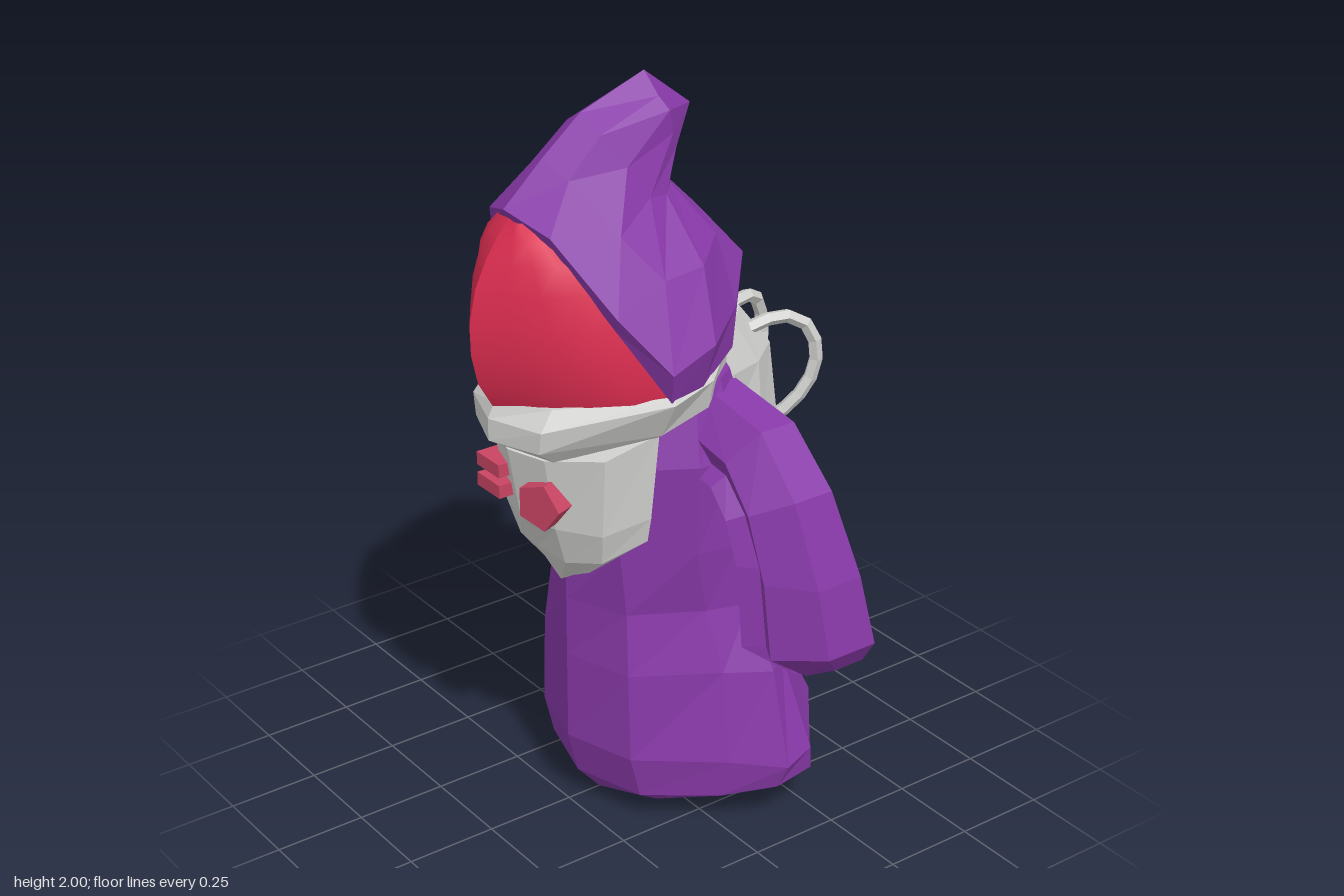
import * as THREE from 'three';

const paint = (name, color) => Object.assign(new THREE.MeshStandardMaterial({ color }), { name });

// Skin a stack of point rows (bottom to top); closed rows get fan caps
function loft(rows, { closed = true, smooth = false, base = null, tip = null } = {}) {
  const n = rows[0].length, pos = rows.flat(2), idx = [];
  const cols = closed ? n : n - 1;
  for (let i = 0; i < rows.length - 1; i++) {
    for (let j = 0; j < cols; j++) {
      const k = (j + 1) % n, a = i * n + j, b = i * n + k;
      idx.push(a, b, b + n, a, b + n, a + n);
    }
  }
  if (closed) {
    const middle = (row) => [0, 1, 2].map((c) => row.reduce((s, p) => s + p[c], 0) / n);
    const last = (rows.length - 1) * n, m = rows.length * n;
    pos.push(...(base || middle(rows[0])), ...(tip || middle(rows[rows.length - 1])));
    for (let j = 0; j < n; j++) {
      const k = (j + 1) % n;
      idx.push(m, k, j, m + 1, last + j, last + k);
    }
  }
  let geo = new THREE.BufferGeometry();
  geo.setAttribute('position', new THREE.Float32BufferAttribute(pos, 3));
  geo.setIndex(idx);
  if (!smooth) geo = geo.toNonIndexed();
  geo.computeVertexNormals();
  return geo;
}

// Mirror a half ring (front centre, left side, back centre) into a full ring
const flip = ([x, y, z]) => [-x, y, z];
const ring = (half) => [...half, ...half.slice(1, -1).reverse().map(flip)];
// Half ring at one height from [x, z] pairs
const level = (y, ...pts) => pts.map(([x, z]) => [x, y, z]);
const mirrorRows = (rows) => rows.map((row) => row.map(flip).reverse());

export function createModel() {
  const model = new THREE.Group();
  model.name = 'hoodedFigure';
  const purple = paint('purple cloth', 0x8839a8);
  const grey = paint('grey metal', 0xd0d0ce);
  const red = paint('red visor', 0xdc2d50);
  const rose = paint('rose badge', 0xc84463);
  const add = (name, geo, mat) => {
    const mesh = new THREE.Mesh(geo, mat);
    mesh.name = name;
    model.add(mesh);
    return mesh;
  };

  // Robe with a hem that sweeps out behind
  add('robe', loft([
    [[0, 0, .15], [.18, .03, .09], [.32, .08, 0], [.4, .11, -.12], [.38, .12, -.23], [.12, .135, -.46], [0, .14, -.5]],
    [[0, .08, .22], [.2, .08, .16], [.34, .09, 0], [.43, .12, -.12], [.42, .13, -.24], [.12, .14, -.48], [0, .145, -.52]],
    [[0, .2, .25], [.2, .2, .19], [.36, .2, -.01], [.46, .19, -.13], [.43, .2, -.23], [.12, .2, -.45], [0, .22, -.47]],
    level(.45, [0, .25], [.19, .19], [.32, -.02], [.39, -.13], [.34, -.2], [.11, -.34], [0, -.36]),
    level(.62, [0, .25], [.17, .18], [.27, 0], [.305, -.11], [.26, -.19], [.1, -.28], [0, -.3]),
    level(.8, [0, .25], [.17, .2], [.28, .04], [.3, -.08], [.26, -.17], [.1, -.25], [0, -.28]),
    level(1.05, [0, .25], [.2, .19], [.29, .04], [.3, -.07], [.26, -.15], [.1, -.2], [0, -.23]),
    level(1.25, [0, .2], [.15, .16], [.24, .02], [.24, -.06], [.2, -.12], [.1, -.16], [0, -.17]),
  ].map(ring), { base: [0, .13, -.15] }), purple);

  // Breathing plate on the chest
  add('chestPlate', loft([
    [[0, .68, .265], [.06, .72, .27], [.12, .75, .26], [.15, .8, .15], [0, .8, .1]],
    [[0, .8, .335], [.1, .79, .32], [.19, .81, .27], [.22, .85, .15], [0, .85, .1]],
    [[0, .9, .385], [.11, .9, .355], [.215, .9, .285], [.235, .92, .15], [0, .9, .1]],
    [[0, 1.1, .42], [.11, 1.1, .385], [.235, 1.12, .29], [.255, 1.16, .14], [0, 1.15, .1]],
  ].map(ring)), grey);

  // Collar band under the visor, rising towards the back
  add('collar', loft([
    [[0, 1.1, .41], [.13, 1.1, .37], [.25, 1.15, .15], [.25, 1.19, 0], [.16, 1.22, -.12], [0, 1.23, -.2]],
    [[0, 1.14, .475], [.14, 1.14, .42], [.28, 1.17, .15], [.27, 1.2, 0], [.17, 1.24, -.13], [0, 1.25, -.22]],
    [[0, 1.2, .475], [.15, 1.2, .42], [.335, 1.27, .15], [.29, 1.28, 0], [.18, 1.31, -.13], [0, 1.32, -.23]],
    [[0, 1.24, .455], [.14, 1.25, .38], [.32, 1.285, .14], [.27, 1.3, 0], [.17, 1.32, -.12], [0, 1.33, -.21]],
  ].map(ring), { tip: [0, 1.25, .1] }), grey);

  // Visor halves, smooth with a crease down the middle: [y, centre z, edge x, edge z]
  const visor = [
    [1.23, .46, .32, .12], [1.3, .5, .315, .14], [1.38, .518, .29, .18], [1.46, .52, .26, .22],
    [1.55, .5, .21, .27], [1.62, .467, .165, .31], [1.67, .433, .11, .335], [1.71, .4, .03, .36],
  ].map(([y, zc, x, z], i) => [0, .25, .5, .75, 1].map((t) => {
    const bulge = .13 * t * (1 - t);
    return [x * t + bulge, y + (i === 0 ? .04 * t : 0), zc + (z - zc) * t + .6 * bulge];
  }));
  add('visorLeft', loft(visor, { closed: false, smooth: true }), red);
  add('visorRight', loft(mirrorRows(visor), { closed: false, smooth: true }), red);

  // Pointed hood with the tip folded backwards
  add('hood', loft([
    [[0, 1.71, .4], [.125, 1.66, .36], [.245, 1.46, .26], [.325, 1.275, .155], [.3, 1.28, .04], [.21, 1.31, -.12], [0, 1.33, -.16]],
    [[0, 1.735, .415], [.13, 1.69, .37], [.265, 1.5, .27], [.352, 1.36, .17], [.335, 1.4, .03], [.21, 1.42, -.13], [0, 1.45, -.315]],
    [[0, 1.84, .3], [.08, 1.8, .28], [.18, 1.67, .2], [.25, 1.56, .12], [.245, 1.57, 0], [.15, 1.6, -.11], [0, 1.62, -.16]],
    [[0, 1.93, .19], [.07, 1.89, .18], [.11, 1.81, .13], [.135, 1.73, .08], [.12, 1.72, .02], [.08, 1.73, -.02], [0, 1.74, -.04]],
    [[0, 2, 0], [.06, 1.95, 0], [.092, 1.92, -.01], [.092, 1.86, -.02], [.08, 1.82, -.04], [.05, 1.8, -.05], [0, 1.8, -.05]],
  ].map(ring), { base: [0, 1.4, .08], tip: [0, 1.89, -.14] }), purple);

  // Sleeves: [x, y, z, half width, half depth, tilt], hand end first, with a fold in front
  const fold = [[1, .25], [1, -.65], [0, -1], [-.9, -.55], [-1, .35], [-.65, .95], [-.35, .65], [.2, .9]];
  const sleeve = [
    [.545, .525, -.19, .05, .1, .3], [.52, .605, -.14, .125, .165, .08], [.503, .82, -.115, .118, .15, -.1],
    [.455, .98, -.085, .108, .13, .5], [.37, 1.08, -.07, .115, .115, 1.05], [.2, 1.11, -.06, .115, .105, 1.45],
  ].map(([x, y, z, w, d, a]) => fold.map(([u, v]) => [x + u * w * Math.cos(a), y + u * w * Math.sin(a), z + v * d]));
  add('sleeveLeft', loft(sleeve), purple);
  add('sleeveRight', loft(mirrorRows(sleeve)), purple);

  // Backpack tank
  add('backpack', loft([
    level(.79, [0, -.24], [.03, -.25], [.03, -.28], [.02, -.31], [0, -.315]),
    level(.88, [0, -.1], [.12, -.15], [.11, -.28], [.05, -.38], [0, -.385]),
    level(.98, [0, -.08], [.16, -.12], [.14, -.28], [.05, -.4], [0, -.41]),
    level(1.2, [0, -.08], [.17, -.12], [.13, -.27], [.05, -.37], [0, -.38]),
    level(1.325, [0, -.06], [.16, -.12], [.11, -.2], [.05, -.27], [0, -.28]),
  ].map(ring)), grey);

  // Splayed hoses behind the backpack, and two bars on the chest
  for (const s of [1, -1]) {
    const path = new THREE.CatmullRomCurve3([
      [.05, 1.25, -.24], [.08, 1.28, -.39], [.105, 1.24, -.455], [.11, 1.13, -.475], [.085, 1.03, -.43], [.045, .97, -.37],
    ].map(([x, y, z]) => new THREE.Vector3(s * x, y, z)));
    add(s > 0 ? 'hoseLeft' : 'hoseRight', new THREE.TubeGeometry(path, 10, .019, 5).toNonIndexed(), grey)
      .geometry.computeVertexNormals();
    add(s > 0 ? 'upperBar' : 'lowerBar', new THREE.BoxGeometry(.1, .036, .08), rose)
      .position.set(-.08, .997 + s * .029, .388);
  }

  // Five-sided badge, turned with the plate
  const badge = add('badge', new THREE.CylinderGeometry(.066, .066, .06, 5).toNonIndexed(), rose);
  badge.geometry.computeVertexNormals();
  badge.geometry.rotateX(Math.PI / 2).rotateZ(Math.PI / 2);
  badge.rotation.y = .35;
  badge.position.set(.1, .98, .38);

  return model;
}
